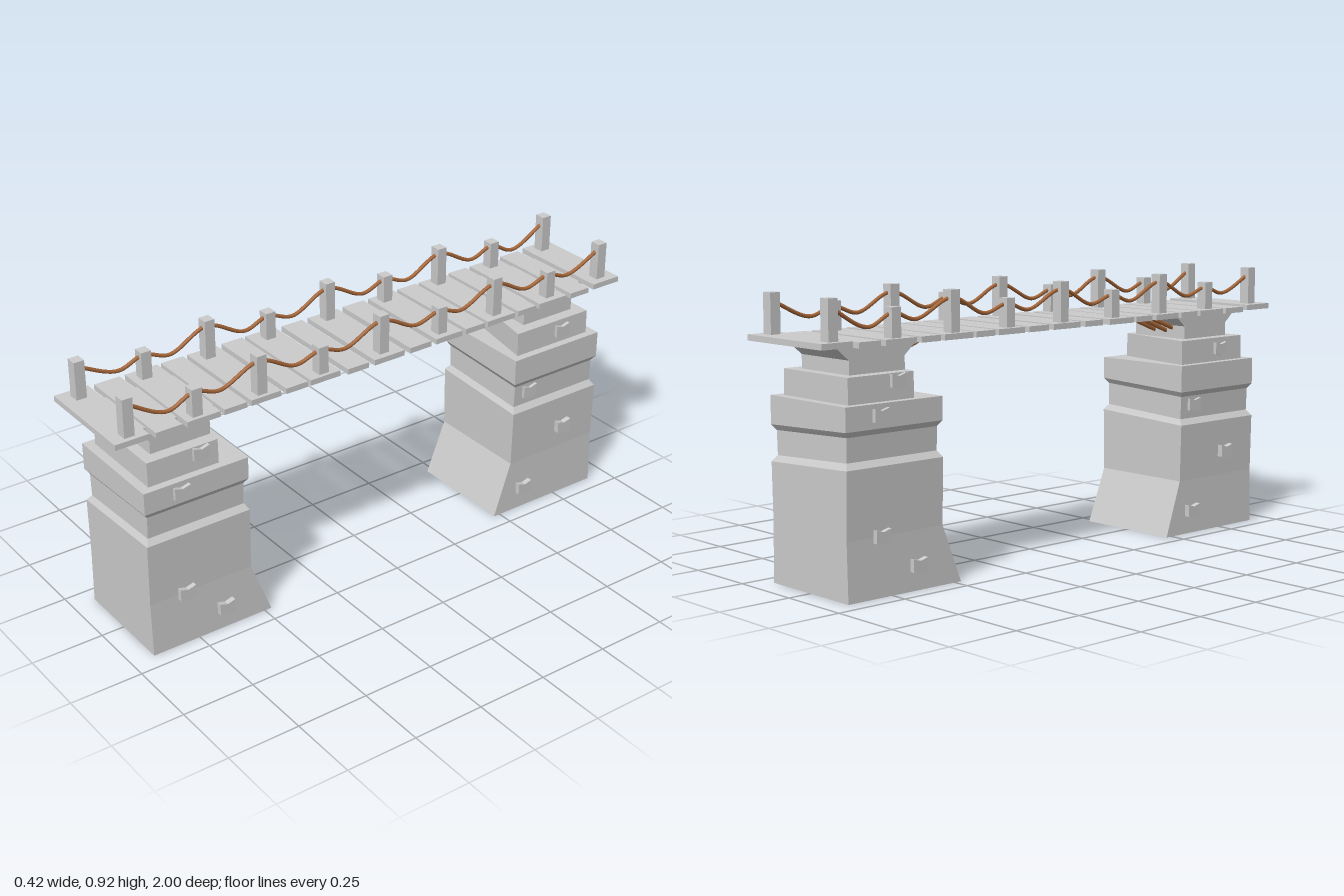
import * as THREE from 'three';

const stone = new THREE.MeshStandardMaterial({ color: 0xcccccc, flatShading: true });
const rope = new THREE.MeshStandardMaterial({ color: 0xa8683a });

function add(parent, name, geometry, material = stone) {
  const mesh = new THREE.Mesh(geometry, material);
  mesh.name = name;
  parent.add(mesh);
  return mesh;
}

function box(parent, name, x0, x1, y0, y1, z0, z1) {
  const mesh = add(parent, name, new THREE.BoxGeometry(x1 - x0, y1 - y0, z1 - z0));
  mesh.position.set((x0 + x1) / 2, (y0 + y1) / 2, (z0 + z1) / 2);
  return mesh;
}

// Joins four-cornered rings, listed from bottom to top, into a closed solid
function loft(rings) {
  const index = [0, 2, 1, 0, 3, 2];
  for (let r = 0; r < rings.length - 1; r++) {
    for (let i = 0; i < 4; i++) {
      const a = r * 4 + i, b = r * 4 + (i + 1) % 4;
      index.push(a, b, b + 4, a, b + 4, a + 4);
    }
  }
  const t = (rings.length - 1) * 4;
  index.push(t, t + 1, t + 2, t, t + 2, t + 3);
  const g = new THREE.BufferGeometry();
  g.setAttribute('position', new THREE.Float32BufferAttribute(rings.flat(2), 3));
  g.setIndex(index);
  const flat = g.toNonIndexed();
  flat.computeVertexNormals();
  return flat;
}

// Ring at height y, tilted sideways; skew pushes back the right inner corner
function ring(y, hw, zIn, zOut, tilt = 0, skew = 0) {
  return [[-hw, y - tilt, zOut], [hw, y + tilt, zOut], [hw, y + tilt, zIn + skew], [-hw, y - tilt, zIn]];
}

// Extrudes a (z, y) outline along x, centred on x = 0
function extrudeAcross(points, width) {
  const shape = new THREE.Shape(points.map(([z, y]) => new THREE.Vector2(-z, y)));
  return new THREE.ExtrudeGeometry(shape, { depth: width, bevelEnabled: false })
    .translate(0, 0, -width / 2).rotateY(Math.PI / 2);
}

function createPillar() {
  const pillar = new THREE.Group();
  pillar.name = 'pillar';

  // Splayed base, recessed neck and wider band, with tilted joints
  add(pillar, 'pillarBody', loft([
    ring(0, 0.192, 0.475, 0.92),
    ring(0.19, 0.187, 0.545, 0.92),
    ring(0.397, 0.191, 0.545, 0.92, 0.009),
    ring(0.417, 0.175, 0.557, 0.907, 0.009),
    ring(0.495, 0.178, 0.557, 0.907, 0.008),
    ring(0.513, 0.19, 0.545, 0.92, 0.008),
    ring(0.597, 0.19, 0.545, 0.92),
  ]));
  add(pillar, 'upperTier', loft([
    ring(0.59, 0.163, 0.575, 0.888, 0, 0.06),
    ring(0.68, 0.161, 0.575, 0.888, 0, 0.06),
  ]));

  // Capital flaring lengthwise under the deck
  add(pillar, 'flaredCapital', extrudeAcross([
    [0.85, 0.67], [0.85, 0.725], [0.91, 0.776],
    [0.575, 0.776], [0.635, 0.725], [0.635, 0.67],
  ], 0.238));

  // Wooden struts from the capital out to the deck
  for (let i = 0; i < 5; i++) {
    const x = (i - 2) * 0.028, drop = (i % 2) * 0.012;
    const path = new THREE.LineCurve3(
      new THREE.Vector3(x, 0.712 - drop, 0.65),
      new THREE.Vector3(x, 0.776, 0.48 - drop * 2));
    add(pillar, 'strut', new THREE.TubeGeometry(path, 1, 0.008, 6), rope);
  }

  // Protruding stones: z, y, outer x
  const outline = [
    [-0.028, 0.024], [0, 0.016], [0.028, 0.024],
    [0.028, -0.018], [0, -0.024], [-0.028, -0.018],
  ];
  const stones = [
    [0.70, 0.655, 0.174], [0.79, 0.56, 0.203], [0.79, 0.19, 0.204], [0.65, 0.08, 0.208],
    [0.77, 0.64, -0.174], [0.62, 0.455, -0.188], [0.77, 0.275, -0.208], [0.60, 0.08, -0.208],
  ];
  for (const [z, y, x] of stones) {
    add(pillar, 'protrudingStone', extrudeAcross(outline, 0.04))
      .position.set(x - Math.sign(x) * 0.02, y, z);
  }
  return pillar;
}

export function createModel() {
  const model = new THREE.Group();
  model.name = 'bridge';

  const frontPillar = createPillar();
  frontPillar.name = 'frontPillar';
  const backPillar = createPillar();
  backPillar.name = 'backPillar';
  backPillar.rotation.y = Math.PI;
  model.add(frontPillar, backPillar);

  // Deck planks: start and end along z
  const planks = [
    [-1, -0.885], [-0.862, -0.78], [-0.76, -0.64], [-0.622, -0.545], [-0.53, -0.413],
    [-0.4, -0.32], [-0.305, -0.195], [-0.175, -0.088], [-0.065, 0.055], [0.078, 0.16],
    [0.183, 0.298], [0.31, 0.39], [0.41, 0.52], [0.535, 0.618], [0.632, 0.75],
    [0.768, 0.86], [0.882, 1],
  ];
  planks.forEach(([z0, z1], i) => {
    const shift = z0 > 0.17 ? -0.007 : 0.002;
    const top = i === 0 || i === planks.length - 1 ? 0.791 : 0.786;
    box(model, 'plank', -0.188 + shift, 0.188 + shift, top - 0.019, top, z0, z1);
  });

  // Alternating tall and short posts, with a sagging rope on each side
  const postZ = [-0.94, -0.705, -0.47, -0.238, 0, 0.238, 0.47, 0.705, 0.94];
  for (const side of [-1, 1]) {
    const points = [];
    postZ.forEach((z, i) => {
      const tall = i % 2 === 0;
      const x = side * (Math.abs(z) > 0.9 ? 0.145 : 0.149);
      box(model, tall ? 'tallPost' : 'shortPost', x - 0.019, x + 0.019,
        0.775, tall ? 0.92 : 0.88, z - 0.018, z + 0.018);
      points.push(new THREE.Vector3(x, tall ? 0.894 : 0.862, z));
      if (i < postZ.length - 1) {
        // Lowest point lies nearer the short post
        const low = z + (postZ[i + 1] - z) * (tall ? 0.6 : 0.4);
        const sag = side * Math.sign(low) > 0 && Math.abs(low) > 0.7 ? 0.824 : 0.836;
        points.push(new THREE.Vector3(side * 0.146, sag, low));
      }
    });
    const curve = new THREE.CatmullRomCurve3(points);
    add(model, side > 0 ? 'leftRope' : 'rightRope', new THREE.TubeGeometry(curve, 160, 0.0065, 8), rope);
  }
  return model;
}
